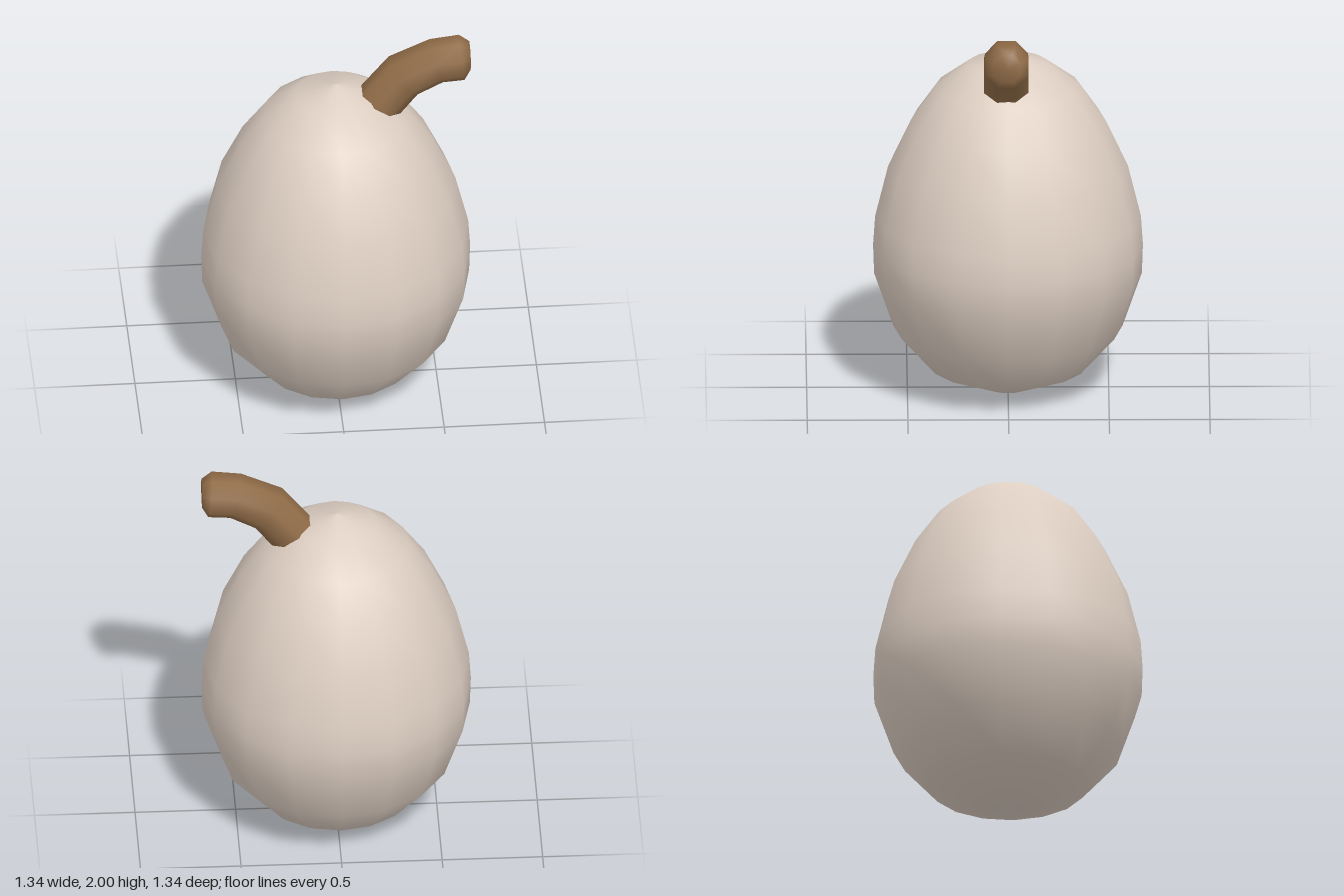
import * as THREE from 'three';

const bodyMaterial = new THREE.MeshStandardMaterial({ color: 0xdccdc1 });
bodyMaterial.name = 'pale cream';
const stemMaterial = new THREE.MeshStandardMaterial({ color: 0x8f6b47 });
stemMaterial.name = 'stem brown';

// Skins a row of rings lying across the xy plane.
// Each ring is [x, y, radius, tilt], tilt being the heading of the stem there.
function loftStem(rings, sides) {
  const positions = [];
  const index = [];
  for (const [x, y, radius, tilt] of rings) {
    for (let i = 0; i < sides; i++) {
      const a = ((i + 0.5) / sides) * Math.PI * 2;
      const u = Math.cos(a) * radius;
      positions.push(x - Math.sin(tilt) * u, y + Math.cos(tilt) * u, Math.sin(a) * radius);
    }
  }
  for (let r = 0; r < rings.length - 1; r++) {
    for (let i = 0; i < sides; i++) {
      const j = (i + 1) % sides;
      const a = r * sides + i, b = r * sides + j;
      index.push(a, b, a + sides, b, b + sides, a + sides);
    }
  }
  // end cap
  const last = (rings.length - 1) * sides;
  const [cx, cy] = rings[rings.length - 1];
  positions.push(cx, cy, 0);
  for (let i = 0; i < sides; i++) index.push(last + i, last + ((i + 1) % sides), last + sides);

  const geometry = new THREE.BufferGeometry();
  geometry.setAttribute('position', new THREE.Float32BufferAttribute(positions, 3));
  geometry.setIndex(index);
  geometry.computeVertexNormals();
  return geometry;
}

export function createModel() {
  const group = new THREE.Group();
  group.name = 'gourd';

  // egg-shaped body, widest below the middle
  const profile = [
    [0, 0], [0.11, 0.005], [0.39, 0.12], [0.57, 0.325], [0.665, 0.6], [0.67, 0.75], [0.66, 0.9],
    [0.595, 1.165], [0.485, 1.4], [0.36, 1.58], [0.2, 1.7], [0, 1.76],
  ].map(([r, y]) => new THREE.Vector2(r, y));
  const body = new THREE.Mesh(new THREE.LatheGeometry(profile, 16), bodyMaterial);
  body.name = 'body';
  group.add(body);

  // bent stem rising from the upper left side, with a bevelled tip
  const stem = new THREE.Mesh(loftStem([
    [0.16, 1.58, 0.12, 0.88],
    [0.335, 1.8, 0.12, 0.66],
    [0.5, 1.88, 0.115, 0.28],
    [0.627, 1.893, 0.116, 0.1],
    [0.667, 1.9, 0.075, 0],
  ], 8), stemMaterial);
  stem.name = 'stem';
  stem.position.z = 0.01;
  stem.material.side = THREE.DoubleSide;
  group.add(stem);

  return group;
}
